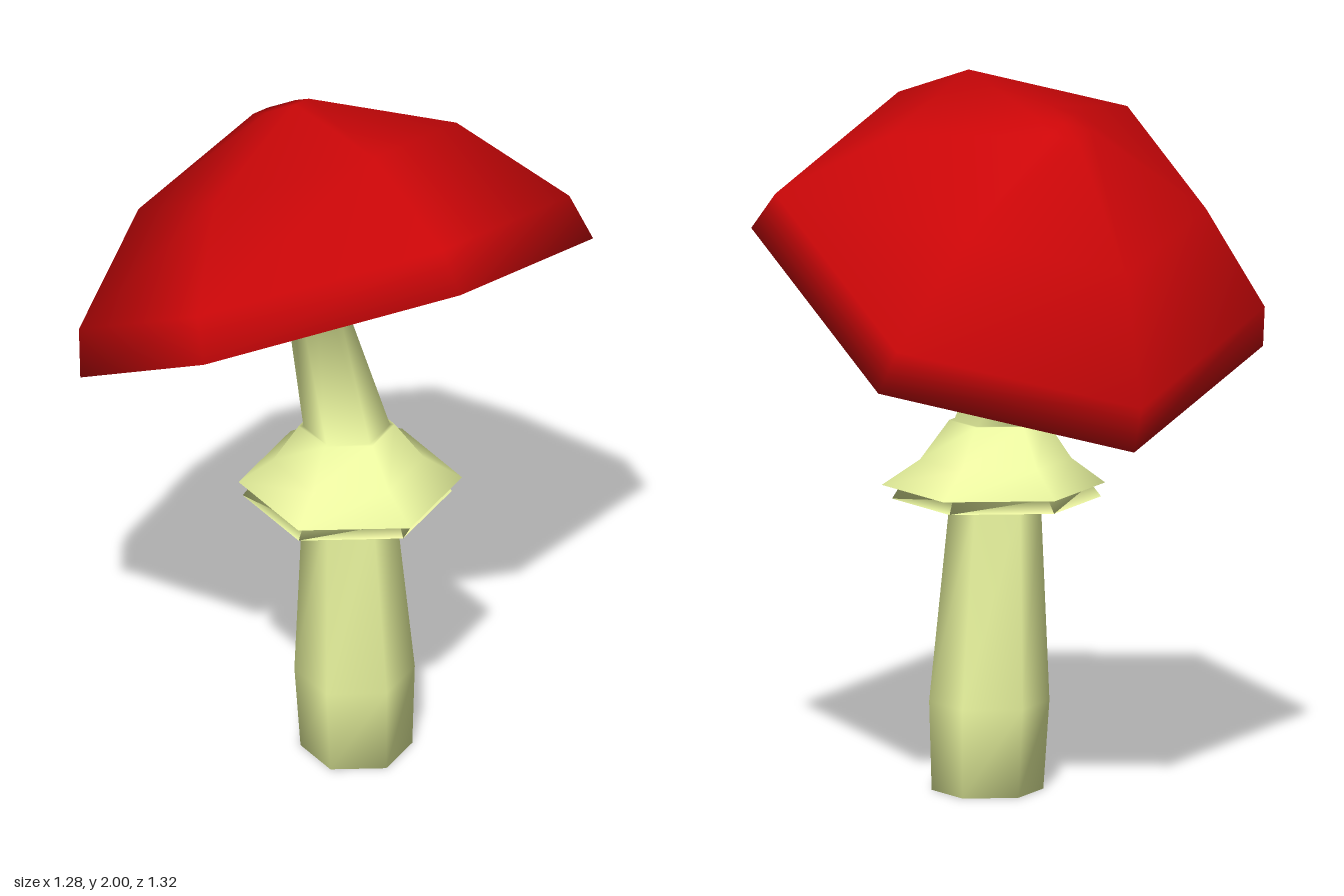
import * as THREE from 'three';

const SIDES = 6;
const TILT = 0.518; // backward lean of the cap
const CAP_CENTRE = [0, 1.415, 0.02];

// Skin hexagonal rings [x, y, z, radius, tilt]; faces point outward when rings run upward
function loft(name, rings, color) {
  const pos = [], idx = [];
  for (const [x, y, z, r, tilt = 0] of rings) {
    for (let i = 0; i < SIDES; i++) {
      const a = (i / SIDES) * Math.PI * 2;
      const forward = r * Math.cos(a);
      pos.push(x + r * Math.sin(a), y + forward * Math.sin(tilt), z + forward * Math.cos(tilt));
    }
  }
  for (let j = 0; j < rings.length - 1; j++) {
    for (let i = 0; i < SIDES; i++) {
      const n = (i + 1) % SIDES;
      const a = j * SIDES + i, b = j * SIDES + n;
      idx.push(a, b, b + SIDES, a, b + SIDES, a + SIDES);
    }
  }
  const geo = new THREE.BufferGeometry();
  geo.setAttribute('position', new THREE.Float32BufferAttribute(pos, 3));
  geo.setIndex(idx);
  geo.computeVertexNormals();
  const mesh = new THREE.Mesh(geo, new THREE.MeshStandardMaterial({ color }));
  mesh.name = name;
  return mesh;
}

export function createModel() {
  const mushroom = new THREE.Group();
  mushroom.name = 'mushroom';

  // One continuous skin: swollen foot, hollow skirt, bent neck, underside of the cap
  mushroom.add(loft('stemSkirtAndUnderside', [
    [0.052, 0, 0.04, 0],
    [0.052, 0, 0.04, 0.155],
    [0.046, 0.25, 0.04, 0.167],
    [0.026, 0.82, 0.04, 0.126],
    // skirt: inside, two stacked edges, outside
    [0.024, 0.92, 0.04, 0.12],
    [0.022, 0.9, 0.04, 0.2],
    [0.022, 0.82, 0.04, 0.29],
    [0.025, 0.857, 0.04, 0.265],
    [0.032, 0.86, 0.04, 0.31],
    [0.025, 0.93, 0.04, 0.21],
    [0.02, 1.04, 0.04, 0.133],
    // neck, opening into the cap
    [0.02, 1.04, 0.04, 0.12],
    [0.01, 1.5, -0.18, 0.063, TILT],
    [...CAP_CENTRE, 0.635, TILT].flat(),
  ], 0xeefaa2));

  // Cap: flat lip rounding into the dome, tipped backward
  const capProfile = [
    [0.635, 0], [0.737, 0], [0.705, 0.131], [0.457, 0.41], [0.08, 0.582], [0, 0.582],
  ];
  const cap = loft('cap', capProfile.map(([r, y]) => [0, y, 0, r]), 0xcc0608);
  cap.position.set(...CAP_CENTRE);
  cap.rotation.x = -TILT;
  mushroom.add(cap);

  return mushroom;
}
